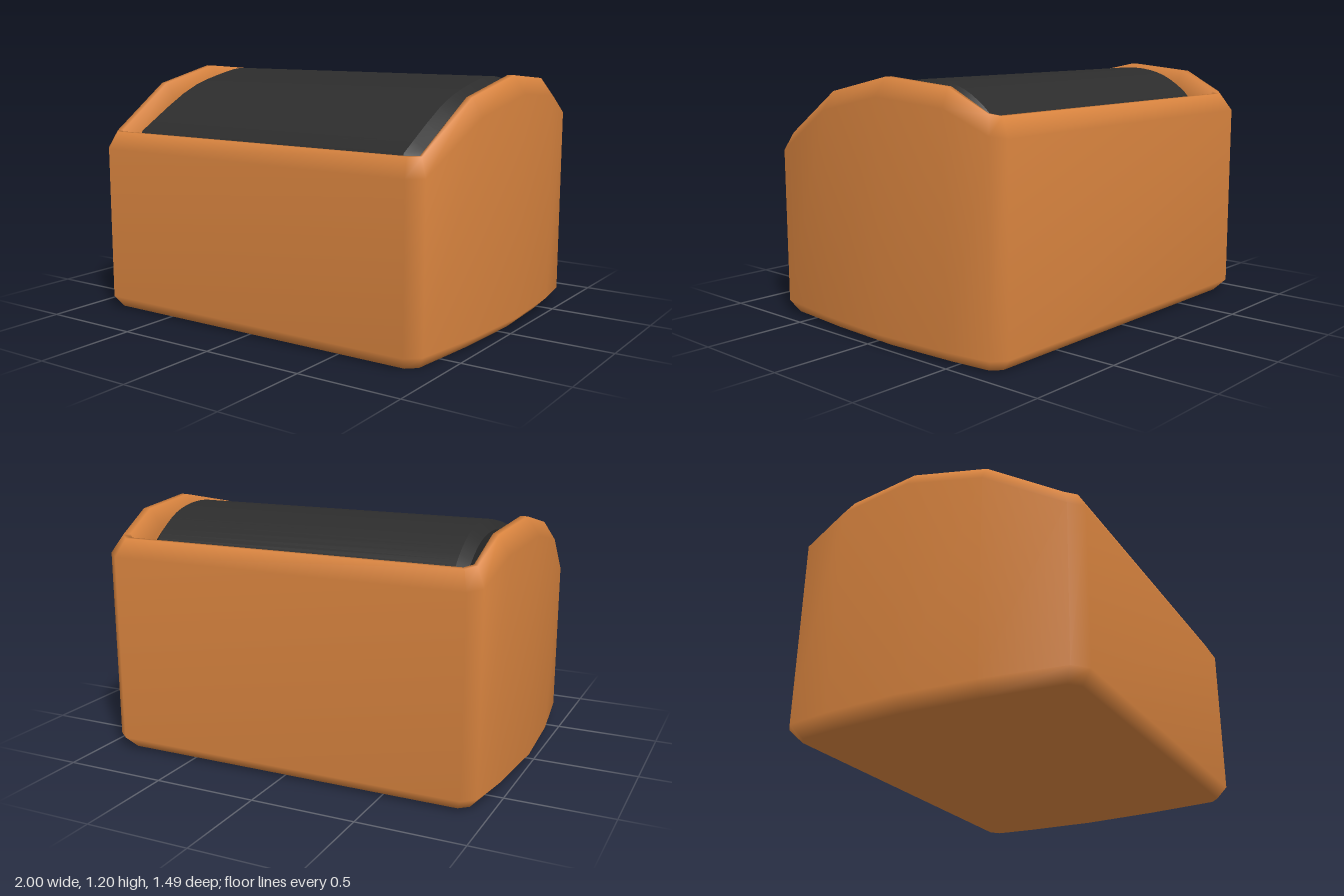
import * as THREE from 'three';
import { toCreasedNormals } from 'three/addons/utils/BufferGeometryUtils.js';

// Left half of the bowed plan, back to front: [outer x, outer z, inner x, inner z, rim height]
const PLAN = [
  [0.88, -0.745, 0.81, -0.61, 1.06],
  [0.94, -0.695, 0.83, -0.59, 1.07],
  [0.975, -0.47, 0.835, -0.42, 1.17],
  [1.0, -0.09, 0.85, -0.09, 1.2],
  [0.975, 0.3, 0.84, 0.28, 1.12],
  [0.92, 0.685, 0.83, 0.61, 0.9],
  [0.855, 0.745, 0.81, 0.63, 0.9],
];

// Wall cross-section: inset from outer (0) to inner (1) plan, and height
const SECTION = [
  [0.42, () => 0],
  [0, () => 0.06],
  [0, (h) => h - 0.085],
  [0.4, (h) => h],
  [0.62, (h) => h],
  [1, (h) => h - 0.09],
  [1, () => 0.5],
];

function shellGeometry() {
  const mirrored = PLAN.map(([ox, oz, ix, iz, h]) => [-ox, oz, -ix, iz, h]).reverse();
  const loop = [...PLAN, ...mirrored];
  const n = loop.length;
  const pos = [];
  const index = [];
  for (const [t, height] of SECTION) {
    for (const [ox, oz, ix, iz, h] of loop) {
      pos.push(ox + (ix - ox) * t, height(h), oz + (iz - oz) * t);
    }
  }
  for (let k = 0; k < SECTION.length - 1; k++) {
    for (let j = 0; j < n; j++) {
      const a = k * n + j;
      const b = k * n + ((j + 1) % n);
      index.push(a, a + n, b, a + n, b + n, b);
    }
  }
  // Underside and inner floor
  const under = pos.length / 3;
  pos.push(0, 0, 0, 0, 0.5, 0);
  const last = (SECTION.length - 1) * n;
  for (let j = 0; j < n; j++) {
    const next = (j + 1) % n;
    index.push(under, j, next, under + 1, last + next, last + j);
  }
  const g = new THREE.BufferGeometry();
  g.setAttribute('position', new THREE.Float32BufferAttribute(pos, 3));
  g.setIndex(index);
  g.computeVertexNormals();
  return g;
}

function cushionGeometry() {
  // Side profile, drawn with -z to the right, then extruded across the width
  const bevel = 0.045;
  const width = 1.62;
  const shape = new THREE.Shape();
  shape.moveTo(-0.63, 0.45);
  shape.lineTo(-0.63, 0.84);
  shape.lineTo(-0.6, 0.9);
  shape.splineThru([
    [-0.25, 1.09], [0.05, 1.17], [0.22, 1.185], [0.38, 1.155], [0.51, 1.08], [0.57, 1.01], [0.6, 0.92],
  ].map(([u, y]) => new THREE.Vector2(u, y)));
  shape.lineTo(0.6, 0.45);
  const g = new THREE.ExtrudeGeometry(shape, {
    depth: width - 2 * bevel,
    bevelThickness: bevel,
    bevelSize: bevel,
    bevelOffset: -bevel,
    bevelSegments: 1,
    curveSegments: 3,
  });
  g.translate(0, 0, -(width / 2 - bevel));
  g.rotateY(Math.PI / 2);
  return toCreasedNormals(g, 0.6);
}

export function createModel() {
  const group = new THREE.Group();
  group.name = 'boxWithCushion';
  const add = (name, geometry, color) => {
    const mesh = new THREE.Mesh(geometry, new THREE.MeshStandardMaterial({ color }));
    mesh.name = name;
    group.add(mesh);
  };
  add('shell', shellGeometry(), 0xd9843f);
  add('cushion', cushionGeometry(), 0x2c2c2c);
  return group;
}
